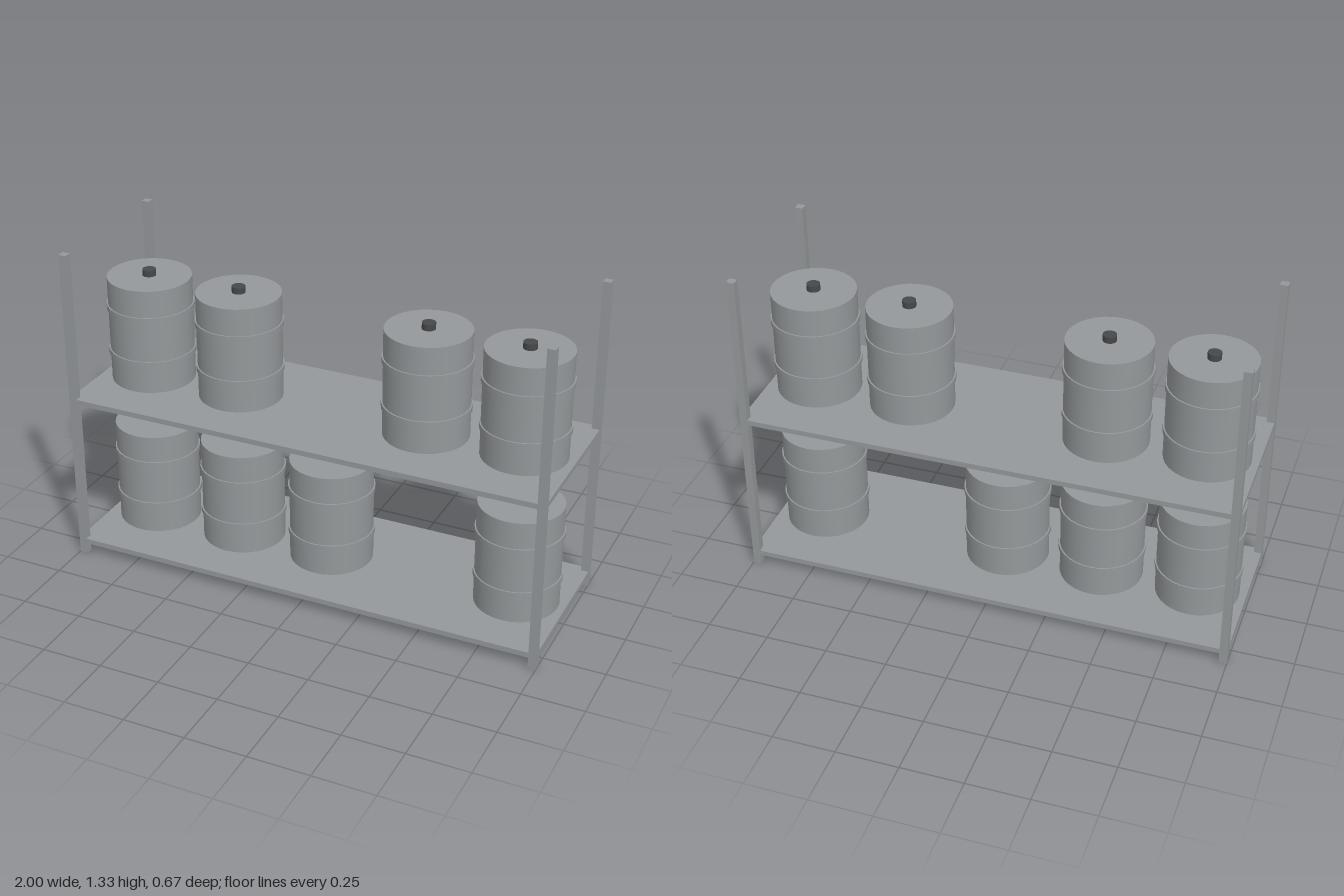
import * as THREE from 'three';

const steel = new THREE.MeshStandardMaterial({ color: 0x94989a });
const dark = new THREE.MeshStandardMaterial({ color: 0x46484a });

function add(parent, name, geometry, x, y, z, material = steel) {
  const mesh = new THREE.Mesh(geometry, material);
  mesh.name = name;
  mesh.position.set(x, y, z);
  parent.add(mesh);
  return mesh;
}

const bodyGeo = new THREE.CylinderGeometry(0.17, 0.17, 0.442, 32);
const hoopGeo = new THREE.CylinderGeometry(0.176, 0.176, 0.023, 32);
const capGeo = new THREE.CylinderGeometry(0.027, 0.027, 0.026, 20);

// Barrel standing on y = 0 with two flat hoops and a small cap
function makeBarrel() {
  const barrel = new THREE.Group();
  barrel.name = 'barrel';
  add(barrel, 'barrelBody', bodyGeo, 0, 0.221, 0);
  for (const y of [0.126, 0.318]) add(barrel, 'barrelHoop', hoopGeo, 0, y, 0);
  add(barrel, 'barrelCap', capGeo, 0, 0.455, 0, dark);
  return barrel;
}

export function createModel() {
  const rack = new THREE.Group();
  rack.name = 'barrelRack';

  // Corner posts
  const postGeo = new THREE.BoxGeometry(0.032, 1.333, 0.032);
  for (const sx of [-1, 1])
    for (const sz of [-1, 1])
      add(rack, 'post', postGeo, sx * 0.984, 0.6665, sz * 0.317);

  // Shelves, each with its barrels
  const shelfGeo = new THREE.BoxGeometry(1.998, 0.022, 0.664);
  const levels = [
    { top: 0.067, slots: [-0.8, -0.4, 0, 0.8] },
    { top: 0.715, slots: [-0.8, -0.4, 0.4, 0.8] },
  ];
  for (const { top, slots } of levels) {
    add(rack, 'shelf', shelfGeo, 0, top - 0.011, 0);
    for (const x of slots) {
      const barrel = makeBarrel();
      barrel.position.set(x, top, 0);
      rack.add(barrel);
    }
  }
  return rack;
}
